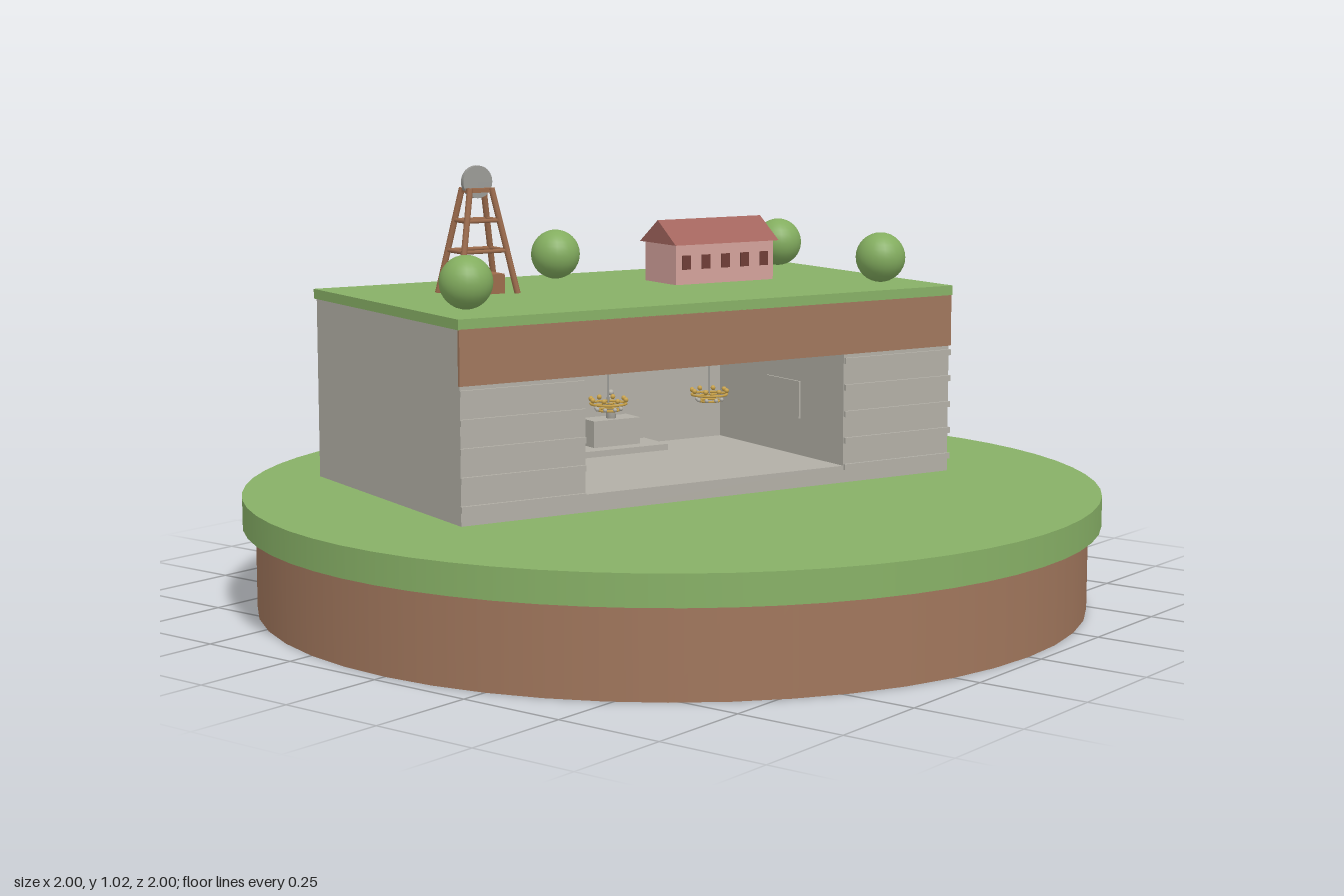
import * as THREE from 'three';

const mat = (name, color) => {
  const m = new THREE.MeshStandardMaterial({ color });
  m.name = name;
  return m;
};

export function createModel() {
  const M = {
    grass: mat('grass green', 0x87b066),
    leaf: mat('leaf green', 0x83ad5f),
    earth: mat('earth brown', 0xa0765c),
    stone: mat('salt stone', 0xb2afa6),
    wood: mat('timber', 0x9c6b4c),
    pink: mat('pink plaster', 0xd3a29b),
    roof: mat('red roof', 0xa2645d),
    pane: mat('dark window', 0x6e3d36),
    gold: mat('gold', 0xc9a24a),
    steel: mat('steel grey', 0x9a9a96),
  };
  const root = new THREE.Group();

  const add = (parent, name, geo, m, x = 0, y = 0, z = 0) => {
    const mesh = new THREE.Mesh(geo, m);
    mesh.name = name;
    mesh.position.set(x, y, z);
    parent.add(mesh);
    return mesh;
  };
  // Box spanning y0..y1, centred on x and z
  const box = (parent, name, m, w, d, x, y0, y1, z) =>
    add(parent, name, new THREE.BoxGeometry(w, y1 - y0, d), m, x, (y0 + y1) / 2, z);
  // Square or round bar between two points
  const bar = (parent, name, m, a, b, r, sides = 6) => {
    const dir = b.clone().sub(a);
    const mesh = add(parent, name, new THREE.CylinderGeometry(r, r, dir.length(), sides), m);
    mesh.position.copy(a).add(b).multiplyScalar(0.5);
    mesh.quaternion.setFromUnitVectors(new THREE.Vector3(0, 1, 0), dir.normalize());
    return mesh;
  };
  const V = (x, y, z) => new THREE.Vector3(x, y, z);
  const group = (parent, name, x, y, z) => {
    const g = new THREE.Group();
    g.name = name;
    g.position.set(x, y, z);
    parent.add(g);
    return g;
  };

  // Round base
  add(root, 'earthDisc', new THREE.CylinderGeometry(0.97, 0.97, 0.2, 48), M.earth, 0, 0.1, 0);
  add(root, 'grassDisc', new THREE.CylinderGeometry(1, 1, 0.07, 64), M.grass, 0, 0.235, 0);

  // Rock block with a chamber open to the front
  const block = group(root, 'mineBlock', 0.05, 0, -0.15);
  block.rotation.y = -Math.PI / 9;
  box(block, 'chamberFloor', M.stone, 0.7, 0.53, 0, 0.27, 0.31, 0.1);
  box(block, 'chamberCeiling', M.stone, 0.7, 0.53, 0, 0.575, 0.7, 0.1);
  box(block, 'backRock', M.stone, 0.7, 0.2, 0, 0.27, 0.7, -0.265);
  for (const s of [-1, 1]) {
    box(block, 'sideRock', M.stone, 0.31, 0.73, s * 0.505, 0.27, 0.7, 0);
    // Rock strata on the front of each pillar
    for (let i = 0; i < 5; i++) {
      const y = 0.3 + i * 0.063;
      box(block, 'stratum', M.stone, 0.31, 0.008, s * 0.507, y, y + 0.014, 0.368);
    }
    // Relief on each side wall
    box(block, 'wallRelief', M.stone, 0.006, 0.145, s * 0.348, 0.4, 0.49, 0.117);
  }
  box(block, 'earthBand', M.earth, 1.325, 0.008, 0, 0.575, 0.698, 0.366);
  box(block, 'grassRoof', M.grass, 1.33, 0.74, 0, 0.697, 0.72, 0);

  // Altar against the back wall
  const altar = group(block, 'altar', 0, 0, -0.1);
  box(altar, 'altarStep', M.stone, 0.24, 0.11, 0, 0.31, 0.325, 0);
  box(altar, 'altarTable', M.stone, 0.13, 0.07, 0, 0.325, 0.39, -0.02);
  box(altar, 'altarPanel', M.stone, 0.117, 0.012, 0, 0.31, 0.52, -0.055);

  // Carved figures
  const statue = (parent, x, y, z, h) => {
    const g = group(parent, 'statue', x, y, z);
    const pts = [[0, 0], [0.18, 0], [0.15, 0.45], [0.17, 0.7], [0.07, 0.82], [0, 0.82]]
      .map(([r, t]) => new THREE.Vector2(r * h, t * h));
    add(g, 'robe', new THREE.LatheGeometry(pts, 16), M.stone);
    add(g, 'head', new THREE.SphereGeometry(0.11 * h, 12, 8), M.stone, 0, 0.89 * h, 0);
  };
  statue(block, -0.2, 0.31, 0.035, 0.13);
  statue(altar, 0, 0.39, -0.015, 0.07);

  // Chandeliers
  for (const x of [-0.14, 0.14]) {
    const g = group(block, 'chandelier', x, 0.465, 0.11);
    add(g, 'rod', new THREE.CylinderGeometry(0.002, 0.002, 0.11, 6), M.steel, 0, 0.055, 0);
    for (const [r, y] of [[0.042, 0], [0.025, -0.015]]) {
      const ring = add(g, 'ring', new THREE.TorusGeometry(r, 0.003, 6, 20), M.gold, 0, y, 0);
      ring.rotation.x = Math.PI / 2;
    }
    for (let i = 0; i < 8; i++) {
      const a = i * Math.PI / 4, c = Math.cos(a), s = Math.sin(a);
      add(g, 'lamp', new THREE.SphereGeometry(0.006, 8, 6), M.gold, 0.042 * c, 0.01, 0.042 * s);
      add(g, 'crystal', new THREE.SphereGeometry(0.005, 8, 6), M.stone, 0.03 * c, -0.012, 0.03 * s);
    }
    bar(g, 'crossArm', M.gold, V(-0.042, 0, 0), V(0.042, 0, 0), 0.002);
    bar(g, 'crossArm', M.gold, V(0, 0, -0.042), V(0, 0, 0.042), 0.002);
  }

  // House with gabled roof and a row of front windows
  const house = group(block, 'house', 0.246, 0.72, -0.055);
  box(house, 'houseWalls', M.pink, 0.28, 0.14, 0, 0, 0.097, 0);
  const gable = new THREE.Shape();
  gable.moveTo(-0.082, 0).lineTo(0.082, 0).lineTo(0, 0.056).closePath();
  const roofGeo = new THREE.ExtrudeGeometry(gable, { depth: 0.297, bevelEnabled: false });
  roofGeo.translate(0, 0, -0.1485).rotateY(Math.PI / 2);
  add(house, 'houseRoof', roofGeo, M.roof, 0, 0.096, 0);
  for (let i = -2; i <= 2; i++)
    box(house, 'window', M.pane, 0.024, 0.004, i * 0.056, 0.036, 0.07, 0.071);

  // Mine headframe with winding wheel
  const tower = group(block, 'headframe', -0.38, 0.72, -0.08);
  box(tower, 'shaftHouse', M.wood, 0.1, 0.08, 0, 0, 0.046, 0);
  const corner = (sx, sz, y) => {
    const t = y / 0.245;
    return V(sx * (0.075 - 0.047 * t), y, sz * (0.056 - 0.036 * t));
  };
  for (const s of [-1, 1]) {
    for (const q of [-1, 1])
      bar(tower, 'leg', M.wood, corner(s, q, 0), corner(s, q, 0.245), 0.0075, 8);
    for (const y of [0.1, 0.17]) {
      bar(tower, 'brace', M.wood, corner(-1, s, y), corner(1, s, y), 0.005);
      bar(tower, 'brace', M.wood, corner(s, -1, y), corner(s, 1, y), 0.005);
    }
  }
  box(tower, 'topPlatform', M.wood, 0.065, 0.045, 0, 0.235, 0.245, 0);
  const wheel = add(tower, 'windingWheel', new THREE.CylinderGeometry(0.038, 0.038, 0.012, 24), M.steel, 0, 0.259, 0);
  wheel.rotation.x = Math.PI / 2;

  // Round bushes
  for (const [x, z] of [[-0.56, -0.135], [0.075, -0.42], [0.695, -0.195], [0.497, 0.252]])
    add(root, 'bush', new THREE.SphereGeometry(0.06, 24, 16), M.leaf, x, 0.782, z);

  return root;
}
